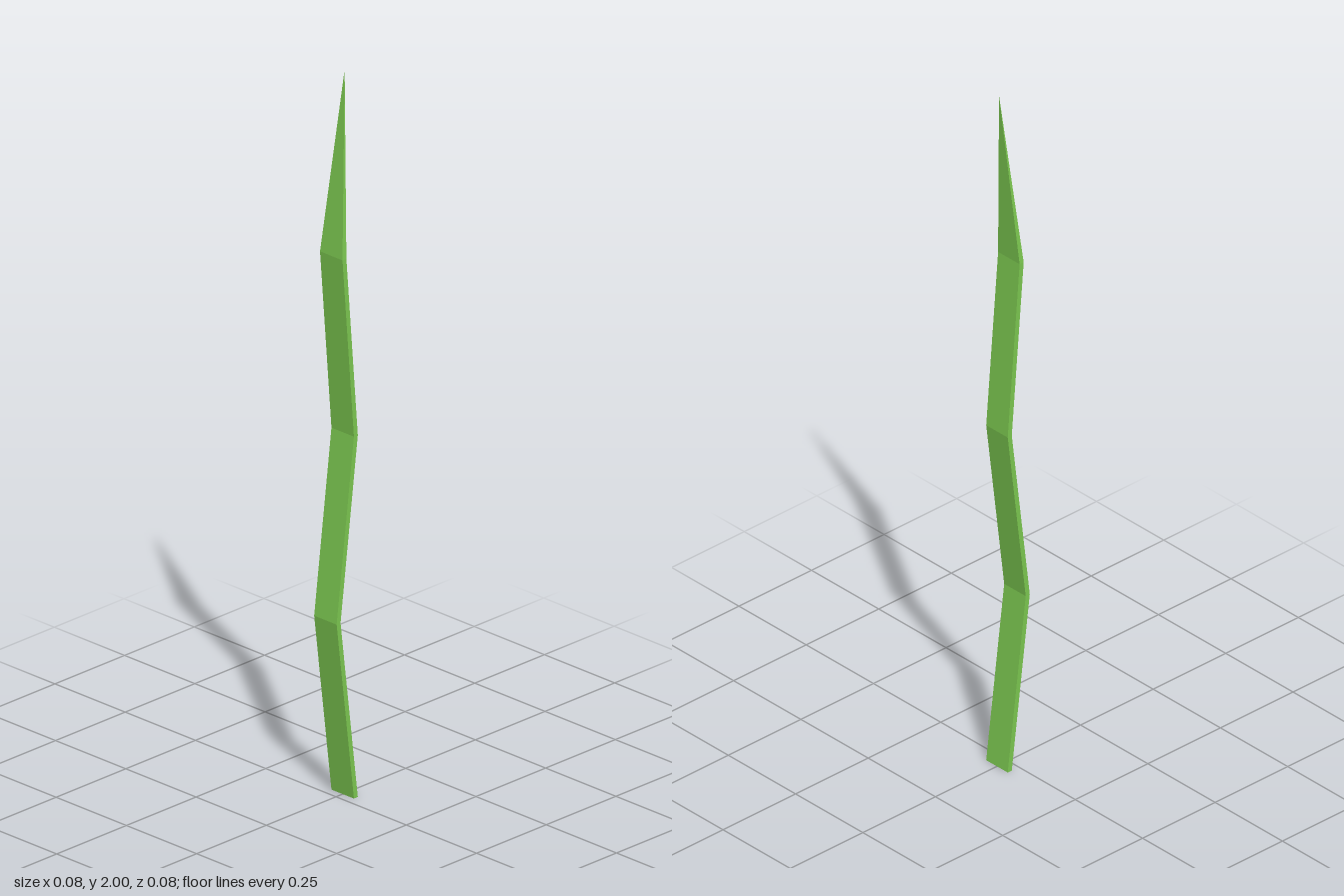
import * as THREE from 'three';

// Left edge (x) of the blade at each bend, by height
const BENDS = [[0.024, 0], [-0.038, 0.5], [0.024, 1], [-0.017, 1.5]];
const TIP = [0.031, 2, 0];
const THICK = 0.014;
const HALF_WIDTH = 0.04;

export function createModel() {
  const group = new THREE.Group();
  group.name = 'grassBlade';

  const pos = [];
  const tri = (a, b, c) => pos.push(...a, ...b, ...c);
  const quad = (a, b, c, d) => { tri(a, b, c); tri(a, c, d); };

  // Rectangular cross-section at each bend, counter-clockwise seen from above
  const rings = BENDS.map(([x, y]) => [
    [x, y, HALF_WIDTH],
    [x + THICK, y, HALF_WIDTH],
    [x + THICK, y, -HALF_WIDTH],
    [x, y, -HALF_WIDTH],
  ]);

  // Zigzag stem sides, then the pointed tip
  for (let i = 0; i < rings.length; i++) {
    const low = rings[i], high = rings[i + 1];
    for (let k = 0; k < 4; k++) {
      const n = (k + 1) % 4;
      if (high) quad(low[k], low[n], high[n], high[k]);
      else tri(low[k], low[n], TIP);
    }
  }
  // Bottom end
  const [a, b, c, d] = rings[0];
  quad(d, c, b, a);

  const geometry = new THREE.BufferGeometry();
  geometry.setAttribute('position', new THREE.Float32BufferAttribute(pos, 3));
  geometry.computeVertexNormals();

  const material = new THREE.MeshStandardMaterial({ color: 0x7cc850, flatShading: true });
  const blade = new THREE.Mesh(geometry, material);
  blade.name = 'blade';
  group.add(blade);
  return group;
}
